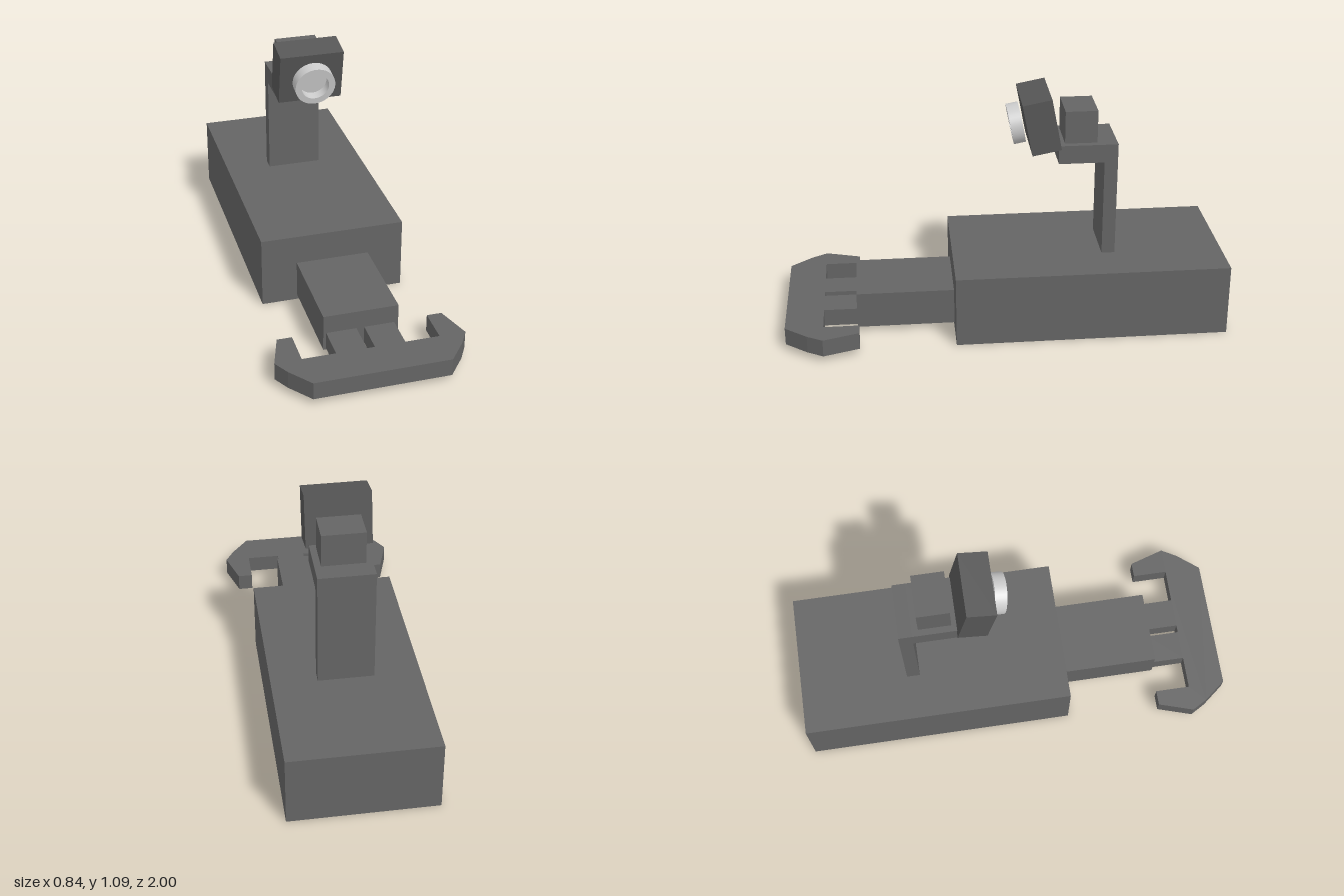
import * as THREE from 'three';

const dark = new THREE.MeshStandardMaterial({ color: 0x646464, flatShading: true });
const darker = new THREE.MeshStandardMaterial({ color: 0x565656, flatShading: true });
const light = new THREE.MeshStandardMaterial({ color: 0xcccccc });

// Box given by its lower and upper limits on each axis
function box(name, [x0, x1], [y0, y1], [z0, z1], material = dark) {
  const mesh = new THREE.Mesh(new THREE.BoxGeometry(x1 - x0, y1 - y0, z1 - z0), material);
  mesh.position.set((x0 + x1) / 2, (y0 + y1) / 2, (z0 + z1) / 2);
  mesh.name = name;
  return mesh;
}

// Hooked plate, mirrored from its left half
function makeBumper() {
  const half = [[0.3, 1], [0.38, 0.9], [0.42, 0.83], [0.37, 0.67], [0.303, 0.67], [0.303, 0.83]];
  const outline = [...half, ...half.map(([x, z]) => [-x, z]).reverse()];
  const shape = new THREE.Shape(outline.map(([x, z]) => new THREE.Vector2(x, -z)));
  const geometry = new THREE.ExtrudeGeometry(shape, { depth: 0.08, bevelEnabled: false });
  geometry.rotateX(-Math.PI / 2);
  const mesh = new THREE.Mesh(geometry, dark);
  mesh.position.y = 0.03;
  mesh.name = 'bumper';
  return mesh;
}

// Short barrel with a recessed front, each profile segment kept sharp
function makeLens() {
  const lens = new THREE.Group();
  lens.name = 'lens';
  const profile = [[0, -0.027], [0.092, -0.027], [0.092, 0.027], [0.063, 0.027], [0.063, -0.018], [0, -0.018]];
  const parts = ['lensBack', 'lensBarrel', 'lensRim', 'lensBore', 'lensGlass'];
  parts.forEach((name, i) => {
    const points = [profile[i], profile[i + 1]].map(([r, y]) => new THREE.Vector2(r, y));
    const mesh = new THREE.Mesh(new THREE.LatheGeometry(points, 40), light);
    mesh.rotation.x = Math.PI / 2;
    mesh.name = name;
    lens.add(mesh);
  });
  lens.position.set(0.003, -0.005, 0.106);
  return lens;
}

export function createModel() {
  const model = new THREE.Group();
  model.name = 'cameraRobot';

  // Chassis, nose and front bumper
  model.add(
    box('body', [-0.33, 0.33], [0, 0.33], [-1, 0.237]),
    box('nose', [-0.168, 0.168], [0.025, 0.194], [0.237, 0.68]),
    box('rightProng', [-0.155, -0.02], [0.03, 0.11], [0.68, 0.83]),
    box('leftProng', [0.015, 0.15], [0.03, 0.11], [0.68, 0.83]),
    makeBumper()
  );

  // Mast with forward arm and mounting block
  model.add(
    box('mast', [-0.125, 0.125], [0.33, 0.865], [-0.505, -0.445]),
    box('arm', [-0.125, 0.125], [0.78, 0.865], [-0.445, -0.24]),
    box('mountBlock', [-0.096, 0.096], [0.865, 1.015], [-0.415, -0.27])
  );

  // Camera head, tilted down
  const head = new THREE.Group();
  head.name = 'cameraHead';
  head.add(box('cameraCase', [-0.146, 0.146], [-0.12, 0.12], [-0.066, 0.066], darker), makeLens());
  head.position.set(-0.007, 0.958, -0.163);
  head.rotation.x = 0.19;
  model.add(head);

  return model;
}
